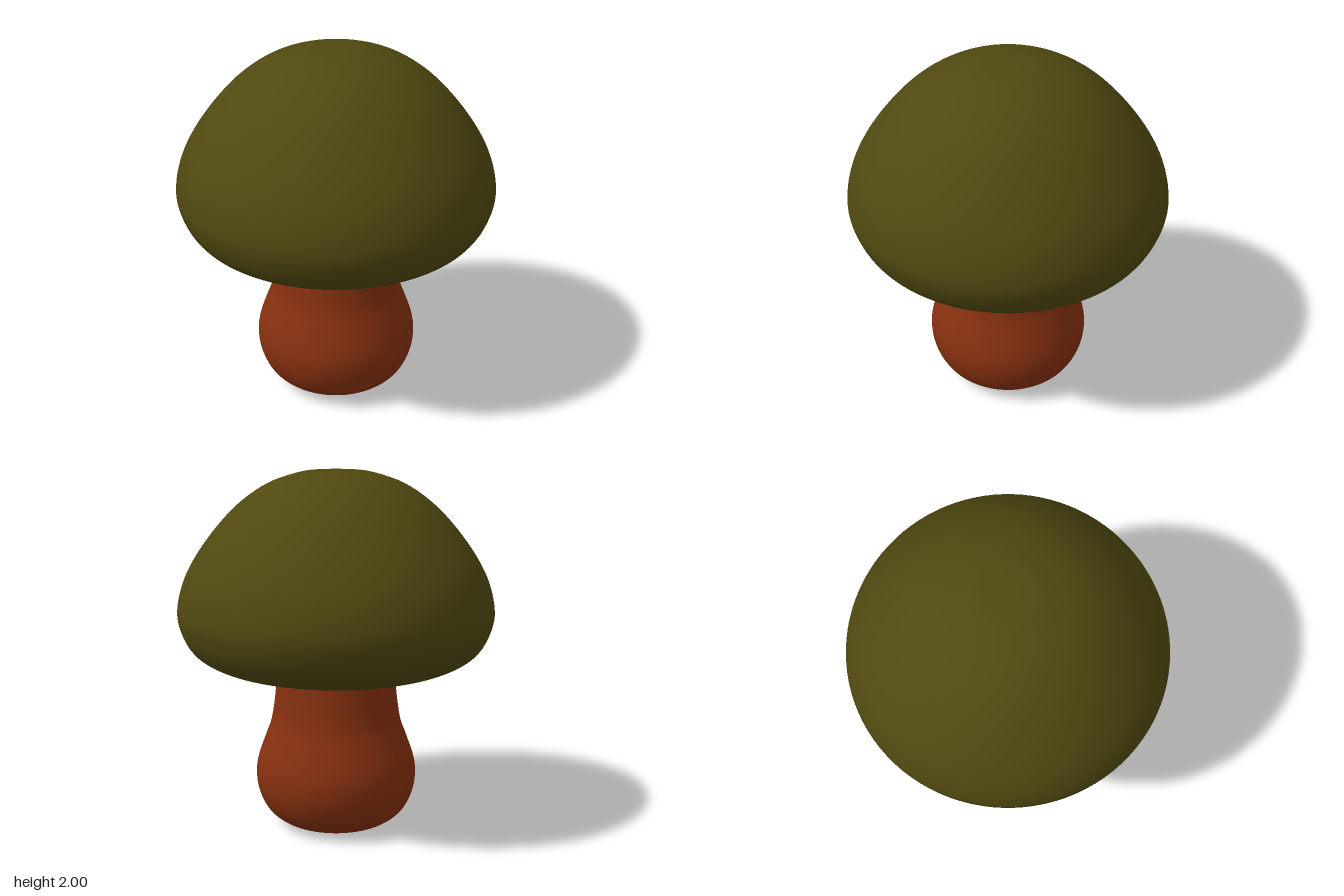
import * as THREE from 'three';

const capMaterial = new THREE.MeshStandardMaterial({ color: 0x4f4810 });
capMaterial.name = 'olive cap';
const stemMaterial = new THREE.MeshStandardMaterial({ color: 0x86300f });
stemMaterial.name = 'rust stem';

// Smooth surface of revolution through [radius, height] points, bottom to top
function turned(name, points, material, steps) {
  const curve = new THREE.SplineCurve(points.map(([r, y]) => new THREE.Vector2(r, y)));
  const profile = curve.getPoints(steps);
  profile.forEach((p) => { p.x = Math.max(p.x, 0); });
  const mesh = new THREE.Mesh(new THREE.LatheGeometry(profile, 96), material);
  mesh.name = name;
  return mesh;
}

export function createModel() {
  const group = new THREE.Group();
  group.name = 'mushroom';

  // Bulbous stem with a flat foot; its flared neck ends inside the cap
  group.add(turned('stem', [
    [0, 0], [0.12, 0], [0.22, 0.003], [0.31, 0.033], [0.39, 0.1], [0.438, 0.2],
    [0.452, 0.3], [0.44, 0.39], [0.402, 0.5], [0.366, 0.6], [0.347, 0.71],
    [0.336, 0.82], [0.335, 0.89], [0.345, 0.94],
  ], stemMaterial, 78));

  // Domed cap with a rounded rim and a slightly hollow underside
  group.add(turned('cap', [
    [0, 0.94], [0.2, 0.935], [0.33, 0.912], [0.43, 0.887], [0.56, 0.903], [0.69, 0.945],
    [0.79, 1.01], [0.852, 1.11], [0.877, 1.24], [0.832, 1.42], [0.72, 1.61],
    [0.555, 1.8], [0.38, 1.925], [0.2, 1.988], [0.09, 2], [0, 2],
  ], capMaterial, 90));

  return group;
}
